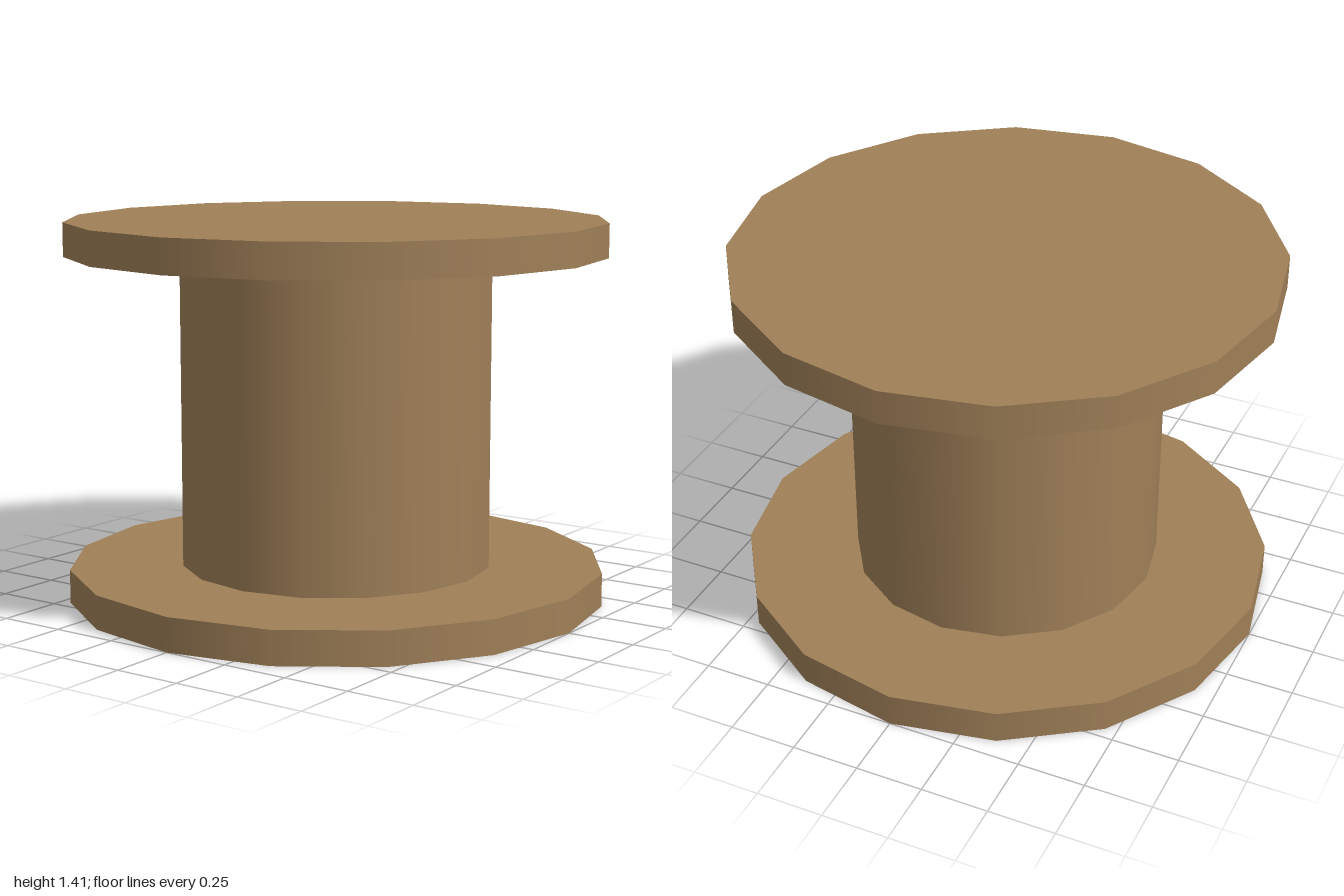
import * as THREE from 'three';

export function createModel() {
  const group = new THREE.Group();
  const material = new THREE.MeshStandardMaterial({ color: 0xa08058 });
  const sides = 16;
  const height = 1.41;
  const flangeHeight = 0.125;

  // Adds an upright cylinder standing on height y
  function addDrum(name, radius, tall, y) {
    const mesh = new THREE.Mesh(new THREE.CylinderGeometry(radius, radius, tall, sides), material);
    mesh.name = name;
    mesh.position.y = y + tall / 2;
    group.add(mesh);
  }

  // Two wide end discs with the narrower core between them
  addDrum('bottomFlange', 1, flangeHeight, 0);
  addDrum('core', 0.58, height - 2 * flangeHeight, flangeHeight);
  addDrum('topFlange', 1, flangeHeight, height - flangeHeight);

  return group;
}
